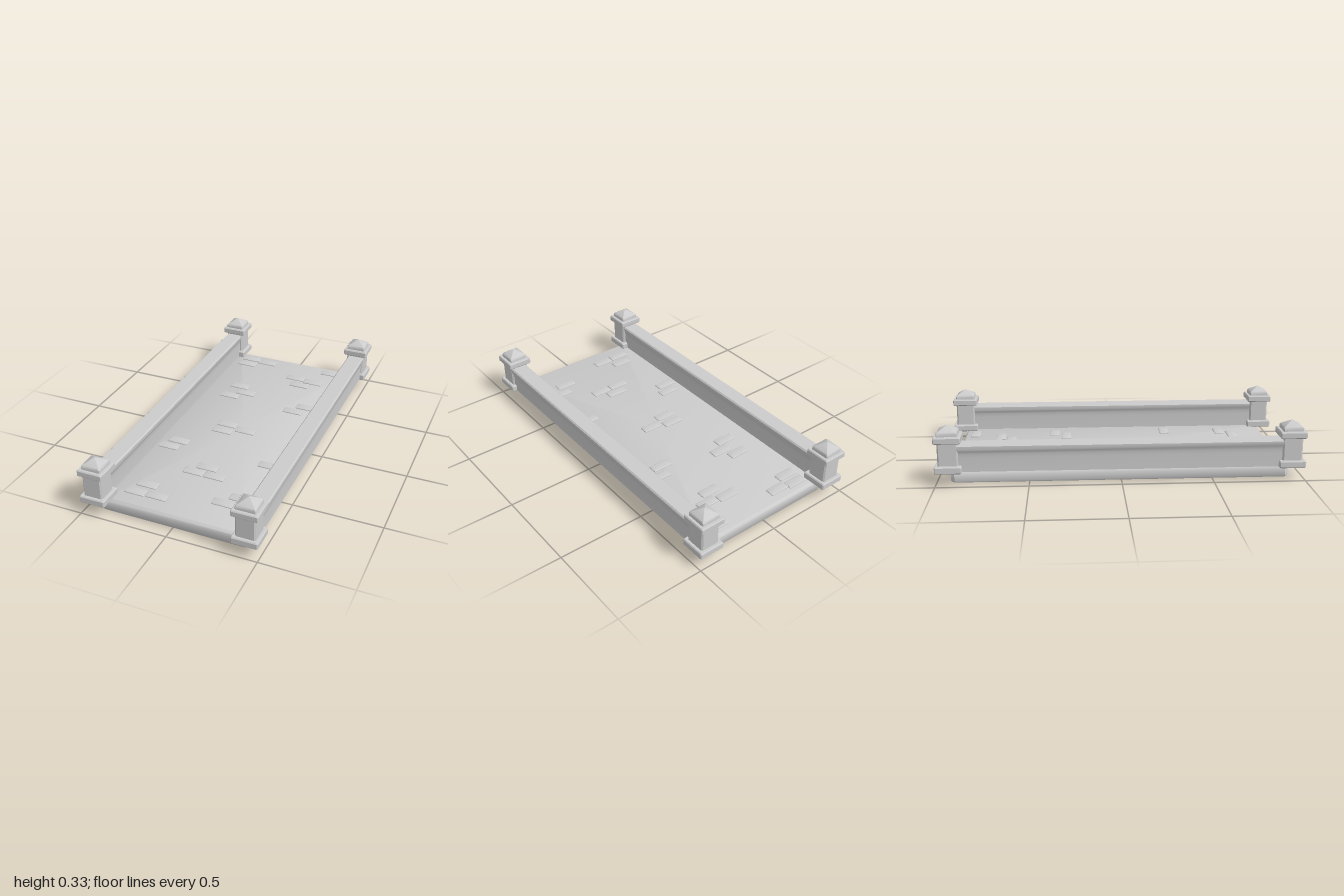
import * as THREE from 'three';
import { toCreasedNormals } from 'three/addons/utils/BufferGeometryUtils.js';

const material = new THREE.MeshStandardMaterial({ color: 0xcccccc, side: THREE.DoubleSide });

// Stacks chamfered rectangles [halfX, halfZ, chamfer, y], open below and closed at a centre point above.
function loft(rings, apexY) {
  const pos = [], index = [];
  for (const [x, z, c, y] of rings) {
    const outline = [[x, z - c], [x - c, z], [c - x, z], [-x, z - c],
      [-x, c - z], [c - x, -z], [x - c, -z], [x, c - z]];
    for (const [px, pz] of outline) pos.push(px, y, pz);
  }
  pos.push(0, apexY, 0);
  rings.forEach((_, r) => {
    for (let i = 0; i < 8; i++) {
      const a = r * 8 + i, b = r * 8 + (i + 1) % 8;
      if (r === rings.length - 1) index.push(a, rings.length * 8, b);
      else index.push(a, a + 8, b, b, a + 8, b + 8);
    }
  });
  const geo = new THREE.BufferGeometry();
  geo.setAttribute('position', new THREE.Float32BufferAttribute(pos, 3));
  geo.setIndex(index);
  return toCreasedNormals(geo, 0.6);
}

function add(parent, name, geometry, x = 0, y = 0, z = 0) {
  const mesh = new THREE.Mesh(geometry, material);
  mesh.name = name;
  mesh.position.set(x, y, z);
  parent.add(mesh);
}

export function createModel() {
  const model = new THREE.Group();
  model.name = 'walledBridge';

  // Hollow deck with bevelled upper edge
  add(model, 'deck', loft([
    [0.42, 0.92, 0.02, 0],
    [0.424, 0.925, 0.02, 0.008],
    [0.424, 0.925, 0.02, 0.047],
    [0.415, 0.922, 0.02, 0.062],
    [0.395, 0.91, 0.015, 0.074],
  ], 0.074));

  // Raised paving stones, in scattered clusters
  const stones = [
    [-0.29, -0.855], [-0.17, -0.84], [-0.29, -0.78], [0.27, -0.855],
    [0.08, -0.71], [0.205, -0.695], [0.135, -0.63],
    [-0.215, -0.47], [-0.145, -0.4], [-0.23, -0.335], [0.27, -0.37], [0.21, -0.3],
    [-0.1, -0.005], [0.03, 0.025], [-0.1, 0.07],
    [-0.285, 0.27], [-0.315, 0.34], [0.29, 0.31],
    [-0.015, 0.455], [-0.07, 0.52], [0.055, 0.52],
    [0.265, 0.65], [0.195, 0.72], [-0.245, 0.725], [-0.275, 0.805], [-0.15, 0.8],
  ];
  const stoneGeo = loft([
    [0.06, 0.028, 0.004, 0.071],
    [0.06, 0.028, 0.004, 0.078],
    [0.056, 0.024, 0.004, 0.081],
  ], 0.081);
  for (const [x, z] of stones) add(model, 'pavingStone', stoneGeo, x, 0, z);

  // Side wall section: straight body flaring into a capping rail
  const half = [[0.04, 0.076], [0.04, 0.155], [0.0415, 0.175], [0.0445, 0.189],
    [0.05, 0.198], [0.05, 0.219], [0.043, 0.227]];
  const section = new THREE.Shape([
    ...half.map(([x, y]) => new THREE.Vector2(x, y)),
    ...half.slice().reverse().map(([x, y]) => new THREE.Vector2(-x, y)),
  ]);
  const wallGeo = toCreasedNormals(
    new THREE.ExtrudeGeometry(section, { depth: 1.85, bevelEnabled: false }).translate(0, 0, -0.925), 0.6);

  // Corner post: plinth, shaft, collar and pyramid top
  const postGeo = loft([
    [0.068, 0.068, 0.004, 0.072],
    [0.0725, 0.0725, 0.005, 0.077],
    [0.0725, 0.0725, 0.005, 0.106],
    [0.068, 0.068, 0.004, 0.112],
    [0.055, 0.055, 0.008, 0.112],
    [0.055, 0.055, 0.008, 0.237],
    [0.068, 0.068, 0.004, 0.237],
    [0.0725, 0.0725, 0.005, 0.242],
    [0.0725, 0.0725, 0.005, 0.268],
    [0.068, 0.068, 0.004, 0.274],
    [0.055, 0.055, 0.004, 0.274],
    [0.055, 0.055, 0.004, 0.29],
    [0.05, 0.05, 0.003, 0.298],
  ], 0.328);

  for (const side of [-1, 1]) {
    add(model, side > 0 ? 'leftWall' : 'rightWall', wallGeo, side * 0.431);
    for (const end of [-1, 1]) {
      add(model, end > 0 ? 'frontPost' : 'backPost', postGeo, side * 0.4275, 0, end * 0.9275);
    }
  }
  return model;
}
